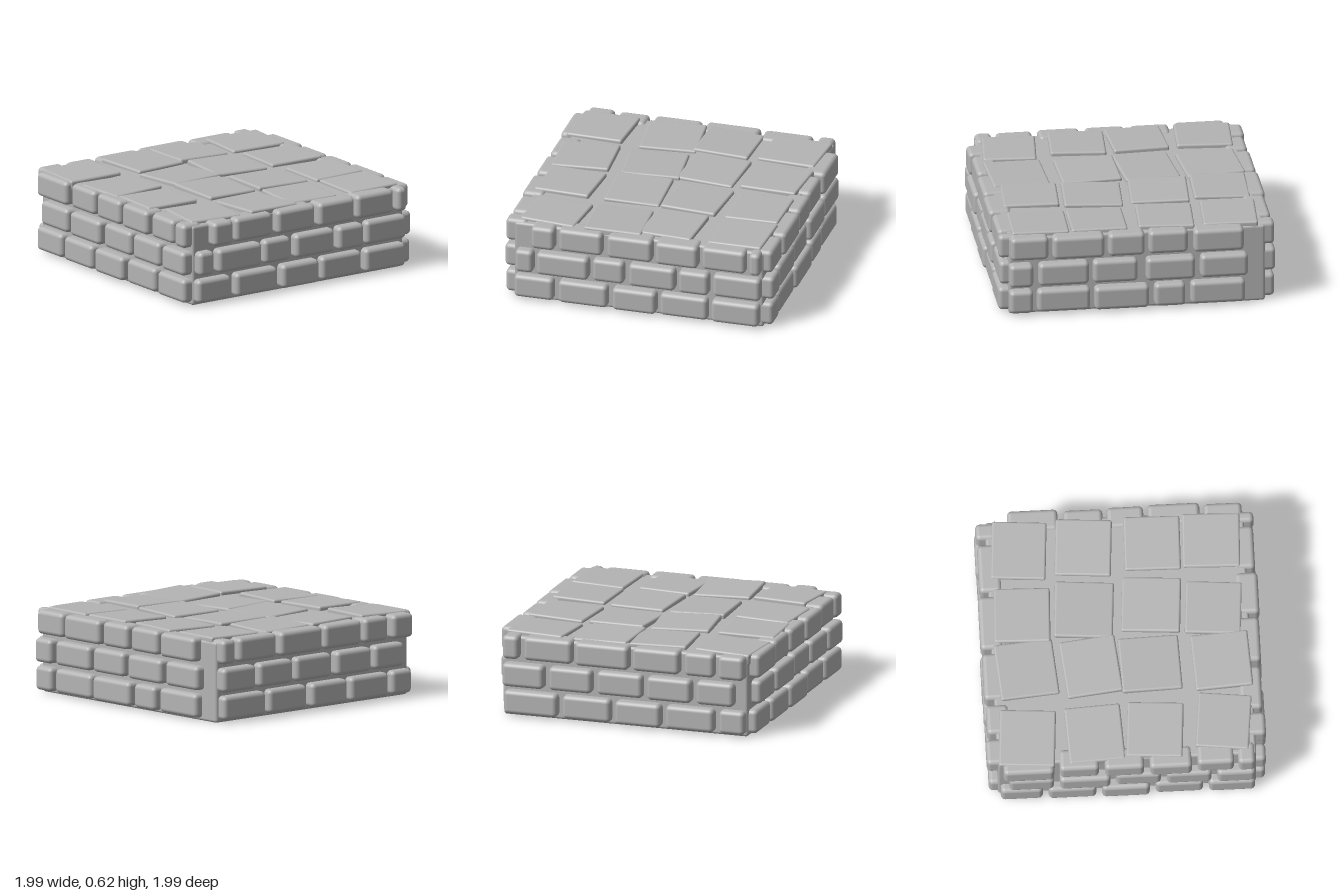
import * as THREE from 'three';
import { RoundedBoxGeometry } from 'three/addons/geometries/RoundedBoxGeometry.js';

const stone = new THREE.MeshStandardMaterial({ color: 0xb4b4b4 });
stone.name = 'grey stone';

function block(name, w, h, d, radius) {
  const mesh = new THREE.Mesh(new RoundedBoxGeometry(w, h, d, 3, radius), stone);
  mesh.name = name;
  return mesh;
}

// Each wall: three courses from the bottom up, given as [start, end] along the wall.
const frontWall = [
  [[-0.91, -0.62], [-0.58, -0.22], [-0.18, 0.14], [0.17, 0.52], [0.55, 0.9]],
  [[-0.9, -0.77], [-0.74, -0.36], [-0.33, -0.1], [-0.06, 0.28], [0.31, 0.53], [0.56, 0.91]],
  [[-0.78, -0.61], [-0.58, -0.26], [-0.22, 0.11], [0.14, 0.45], [0.48, 0.8], [0.83, 0.91]],
];
const rightWall = [
  [[-0.77, -0.38], [-0.34, -0.12], [-0.08, 0.31], [0.34, 0.72], [0.75, 0.92]],
  [[-0.79, -0.45], [-0.41, -0.06], [0, 0.32], [0.35, 0.71], [0.75, 0.92]],
  [[-0.76, -0.4], [-0.36, -0.08], [-0.05, 0.21], [0.24, 0.61], [0.64, 0.91]],
];
const backWall = [
  [[-0.91, -0.72], [-0.68, -0.32], [-0.28, 0.06], [0.1, 0.46], [0.5, 0.9]],
  [[-0.83, -0.55], [-0.51, -0.18], [-0.14, 0.2], [0.24, 0.56], [0.6, 0.91]],
  [[-0.91, -0.72], [-0.68, -0.46], [-0.42, -0.07], [-0.04, 0.36], [0.39, 0.75], [0.79, 0.91]],
];
const leftWall = [
  [[-0.9, -0.6], [-0.56, -0.22], [-0.18, 0.16], [0.2, 0.54], [0.58, 0.91]],
  [[-0.84, -0.52], [-0.48, -0.12], [-0.08, 0.24], [0.28, 0.6], [0.64, 0.91]],
  [[-0.88, -0.52], [-0.48, -0.2], [-0.16, 0.12], [0.16, 0.46], [0.5, 0.76], [0.79, 0.91]],
];

function buildWall(name, courses, axis, side) {
  const wall = new THREE.Group();
  wall.name = name;
  courses.forEach((course, row) => course.forEach(([a, b], i) => {
    const depth = 0.16;
    const outer = 0.99 + (((i + row) % 3) - 1) * 0.007;
    const out = side * (outer - depth / 2);
    const mid = (a + b) / 2, y = 0.107 + row * 0.202;
    const brick = axis === 'z'
      ? block('brick', b - a, 0.172, depth, 0.032)
      : block('brick', depth, 0.172, b - a, 0.032);
    if (axis === 'z') brick.position.set(mid, y, out);
    else brick.position.set(out, y, mid);
    wall.add(brick);
  }));
  return wall;
}

// Paving slabs: centre x, centre z, width, depth, turn in degrees
const slabs = [
  [-0.73, -0.7, 0.42, 0.4, -4], [-0.21, -0.68, 0.42, 0.42, 5],
  [0.2, -0.69, 0.41, 0.4, -2], [0.69, -0.69, 0.43, 0.39, -4],
  [-0.72, -0.22, 0.42, 0.4, 3], [-0.21, -0.22, 0.43, 0.4, 6],
  [0.22, -0.25, 0.42, 0.42, -4], [0.69, -0.23, 0.42, 0.4, -4],
  [-0.71, 0.21, 0.41, 0.4, -4], [-0.21, 0.2, 0.41, 0.43, 2],
  [0.235, 0.23, 0.41, 0.42, -4], [0.7, 0.26, 0.4, 0.4, -1],
  [-0.67, 0.7, 0.41, 0.38, -6], [-0.21, 0.71, 0.42, 0.41, 3],
  [0.19, 0.67, 0.39, 0.4, -4], [0.7, 0.68, 0.4, 0.41, -2],
];

function buildPaving() {
  const paving = new THREE.Group();
  paving.name = 'paving';
  slabs.forEach(([x, z, w, d, turn], i) => {
    const slab = block('slab', w, 0.08, d, 0.016);
    slab.position.set(x, 0.568, z);
    // slight uneven settling
    slab.rotation.set(Math.sin(i * 2.3) * 0.025, THREE.MathUtils.degToRad(turn), Math.cos(i * 1.7) * 0.025, 'YXZ');
    paving.add(slab);
  });
  return paving;
}

export function createModel() {
  const model = new THREE.Group();
  model.name = 'stonePlatform';

  // mortar body behind the bricks
  const core = block('mortarCore', 1.84, 0.582, 1.84, 0.02);
  core.position.y = 0.291;
  model.add(core);

  model.add(
    buildWall('frontWall', frontWall, 'z', 1),
    buildWall('backWall', backWall, 'z', -1),
    buildWall('rightWall', rightWall, 'x', 1),
    buildWall('leftWall', leftWall, 'x', -1),
    buildPaving(),
  );
  return model;
}
